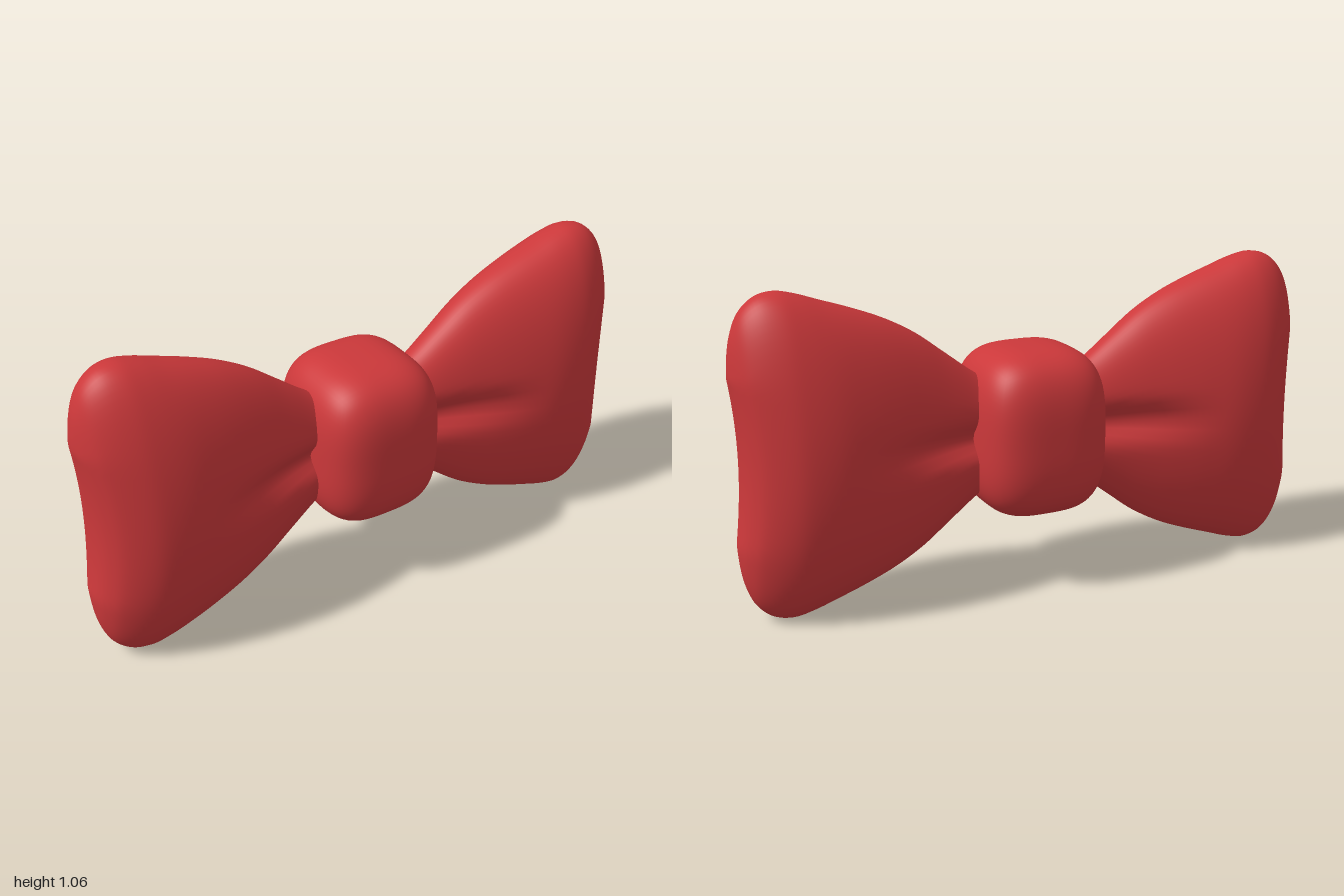
import * as THREE from 'three';
import { mergeVertices } from 'three/addons/utils/BufferGeometryUtils.js';

const CENTRE_Y = 0.529;

// Weld by position so the shading is smooth everywhere
function smooth(geometry) {
  geometry.deleteAttribute('uv');
  geometry.deleteAttribute('normal');
  const welded = mergeVertices(geometry, 1e-4);
  welded.computeVertexNormals();
  return welded;
}

// Wing: oval cross-sections lofted along x, with a pinched fold near the knot
function wingGeometry() {
  // x, half height, half depth
  const profile = new THREE.CatmullRomCurve3([
    [0.12, 0.165, 0.09], [0.2, 0.21, 0.1], [0.3, 0.285, 0.12], [0.4, 0.36, 0.143],
    [0.5, 0.415, 0.168], [0.6, 0.455, 0.19], [0.7, 0.489, 0.205], [0.78, 0.516, 0.203],
    [0.84, 0.528, 0.192], [0.9, 0.517, 0.167], [0.95, 0.475, 0.134], [0.98, 0.41, 0.094],
    [0.995, 0.33, 0.052], [1.0, 0.25, 0],
  ].map((p) => new THREE.Vector3(...p)));
  const rings = 65, around = 72;
  const positions = [], index = [];
  for (let i = 0; i <= rings; i++) {
    const { x, y: h, z: d } = profile.getPoint(i / rings);
    const fold = 0.5 * (1 - THREE.MathUtils.smoothstep(x, 0.15, 0.68));
    const dent = 0.025 * THREE.MathUtils.smoothstep(x, 0.75, 1);
    for (let j = 0; j < around; j++) {
      const a = (j / around) * Math.PI * 2;
      const y = h * Math.sin(a);
      const c = Math.cos(a);
      const z = d * Math.sign(c) * Math.abs(c) ** 0.92 * (1 - fold * Math.exp(-((y / 0.05) ** 2)));
      positions.push(x - dent * Math.max(0, 1 - (y / 0.27) ** 2), y, z);
      if (i < rings) {
        const k = (j + 1) % around;
        const p = i * around + j, q = i * around + k;
        index.push(p, p + around, q, q, p + around, q + around);
      }
    }
  }
  const geometry = new THREE.BufferGeometry();
  geometry.setAttribute('position', new THREE.Float32BufferAttribute(positions, 3));
  geometry.setIndex(index);
  return smooth(geometry);
}

// Knot: a box pulled onto a rounded, pillow-like surface
function knotGeometry(a, b, c, power) {
  const geometry = new THREE.BoxGeometry(2, 2, 2, 20, 20, 20);
  const pos = geometry.attributes.position;
  const v = new THREE.Vector3();
  for (let i = 0; i < pos.count; i++) {
    v.fromBufferAttribute(pos, i);
    const sum = Math.abs(v.x) ** power + Math.abs(v.y) ** power + Math.abs(v.z) ** power;
    v.multiplyScalar(sum ** (-1 / power));
    pos.setXYZ(i, v.x * a, v.y * b, v.z * c);
  }
  return smooth(geometry);
}

export function createModel() {
  const model = new THREE.Group();
  model.name = 'bowTie';
  const red = new THREE.MeshStandardMaterial({ color: 0xcb383a });
  red.name = 'red fabric';

  const wing = wingGeometry();
  for (const [name, turn] of [['leftWing', 0], ['rightWing', Math.PI]]) {
    const mesh = new THREE.Mesh(wing, red);
    mesh.name = name;
    mesh.rotation.y = turn;
    mesh.position.y = CENTRE_Y;
    model.add(mesh);
  }

  const knot = new THREE.Mesh(knotGeometry(0.225, 0.282, 0.235, 3.3), red);
  knot.name = 'knot';
  knot.position.y = CENTRE_Y;
  model.add(knot);
  return model;
}
